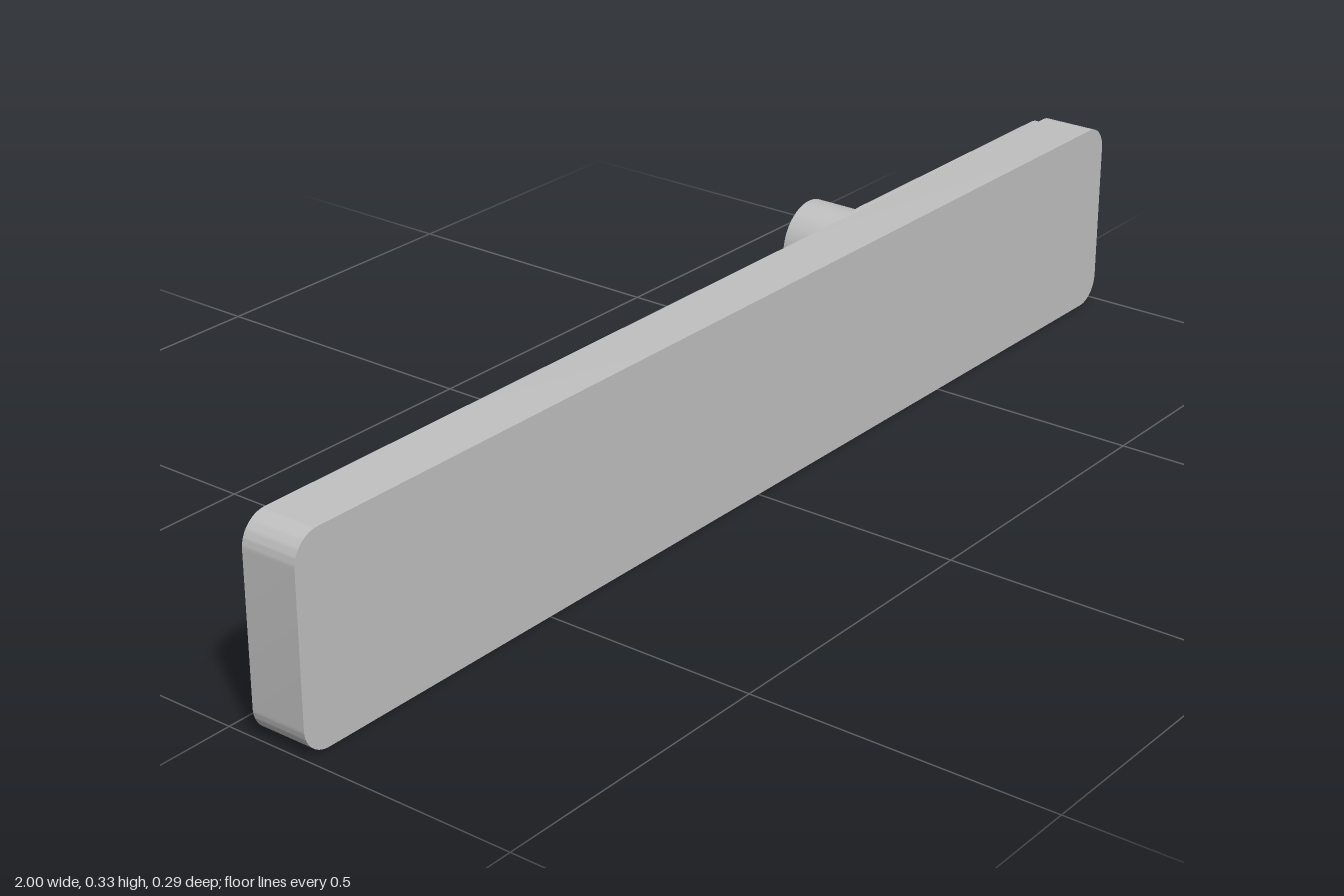
import * as THREE from 'three';
import { toCreasedNormals } from 'three/addons/utils/BufferGeometryUtils.js';

// Upright slab with rounded corners, spanning x0..x1, y0..y1, z0..z1
function roundedSlab(x0, x1, y0, y1, z0, z1, r) {
  const s = new THREE.Shape();
  s.moveTo(x0 + r, y0);
  s.lineTo(x1 - r, y0);
  s.absarc(x1 - r, y0 + r, r, -Math.PI / 2, 0);
  s.lineTo(x1, y1 - r);
  s.absarc(x1 - r, y1 - r, r, 0, Math.PI / 2);
  s.lineTo(x0 + r, y1);
  s.absarc(x0 + r, y1 - r, r, Math.PI / 2, Math.PI);
  s.lineTo(x0, y0 + r);
  s.absarc(x0 + r, y0 + r, r, Math.PI, Math.PI * 1.5);
  const geo = new THREE.ExtrudeGeometry(s, { depth: z1 - z0, bevelEnabled: false, curveSegments: 10 });
  geo.translate(0, 0, z0);
  return toCreasedNormals(geo, Math.PI / 6);
}

export function createModel() {
  const group = new THREE.Group();
  const grey = new THREE.MeshStandardMaterial({ color: 0xc0c0c0 });
  grey.name = 'light grey';

  const add = (name, geo) => {
    const mesh = new THREE.Mesh(geo, grey);
    mesh.name = name;
    group.add(mesh);
    return mesh;
  };

  // Long front bar
  add('handleBar', roundedSlab(-1, 1, 0, 0.329, 0.048, 0.143, 0.045));

  // Thin mounting plate behind the left end
  add('backPlate', roundedSlab(0.382, 0.998, 0.034, 0.32, 0.025, 0.048, 0.045));

  // Round spindle sticking out of the back
  const spindle = add('spindle', new THREE.CylinderGeometry(0.0715, 0.0715, 0.168, 48));
  spindle.rotation.x = Math.PI / 2;
  spindle.position.set(0.522, 0.191, -0.059);

  return group;
}
